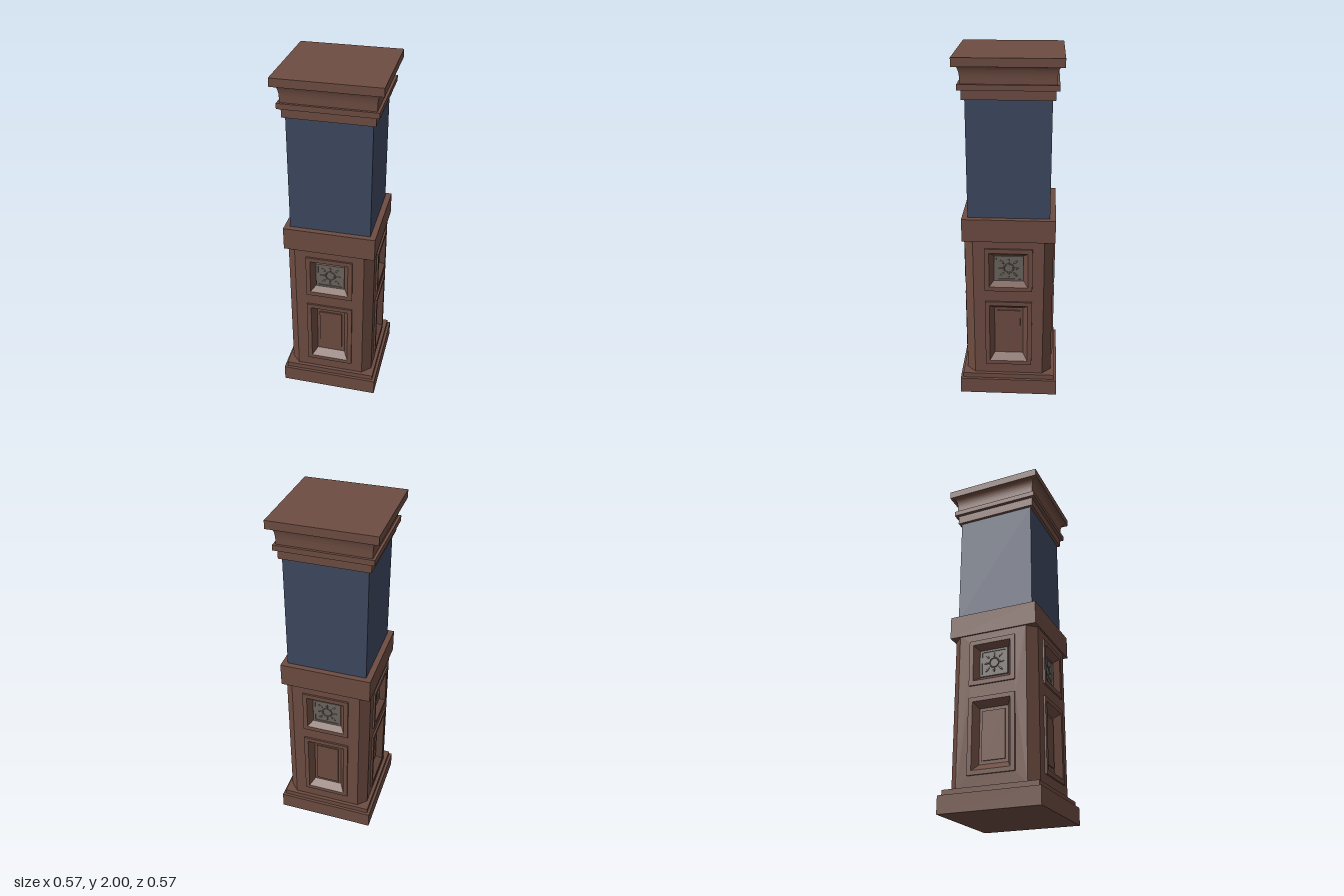
import * as THREE from 'three';

const wood = new THREE.MeshStandardMaterial({ color: 0x6d4c41 });
wood.name = 'brown wood';
const blue = new THREE.MeshStandardMaterial({ color: 0x3d4760 });
blue.name = 'slate blue';
const stone = new THREE.MeshStandardMaterial({ color: 0x6c645e });
stone.name = 'grey tile';

function add(parent, name, geometry, material, x = 0, y = 0, z = 0) {
  const mesh = new THREE.Mesh(geometry, material);
  mesh.name = name;
  mesh.position.set(x, y, z);
  parent.add(mesh);
  return mesh;
}

// Square block standing between two heights
function block(parent, name, half, y0, y1, material) {
  return add(parent, name, new THREE.BoxGeometry(half * 2, y1 - y0, half * 2), material, 0, (y0 + y1) / 2);
}

// Square moulding swept from a profile of [half width, height]
function moulding(profile) {
  const points = profile.map(([h, y]) => new THREE.Vector2(h * Math.SQRT2, y));
  const geometry = new THREE.LatheGeometry(points, 4).rotateY(Math.PI / 4).toNonIndexed();
  geometry.computeVertexNormals();
  return geometry;
}

// Stepped rectangular panel from rings of [half width, bottom, top, depth], outermost first
function steppedPanel(rings) {
  const corners = rings.map(([w, y0, y1, z]) => [[-w, y0, z], [w, y0, z], [w, y1, z], [-w, y1, z]]);
  const positions = [];
  const quad = (a, b, c, d) => positions.push(...a, ...b, ...c, ...a, ...c, ...d);
  for (let i = 0; i < corners.length - 1; i++) {
    for (let k = 0; k < 4; k++) {
      const n = (k + 1) % 4;
      quad(corners[i][k], corners[i][n], corners[i + 1][n], corners[i + 1][k]);
    }
  }
  quad(...corners[corners.length - 1]);
  const geometry = new THREE.BufferGeometry();
  geometry.setAttribute('position', new THREE.Float32BufferAttribute(positions, 3));
  geometry.computeVertexNormals();
  return geometry;
}

function rectangle(Type, w, y0, y1) {
  const r = new Type();
  r.moveTo(-w, y0);
  r.lineTo(w, y0);
  r.lineTo(w, y1);
  r.lineTo(-w, y1);
  r.closePath();
  return r;
}

// Carved square tile with a ring and leaf ornament
function createTile() {
  const tile = new THREE.Group();
  tile.name = 'ornamentTile';
  add(tile, 'tileSlab', new THREE.BoxGeometry(0.166, 0.154, 0.006), stone);
  const border = rectangle(THREE.Shape, 0.083, -0.077, 0.077);
  border.holes.push(rectangle(THREE.Path, 0.07, -0.066, 0.066));
  add(tile, 'tileBorder', new THREE.ExtrudeGeometry(border, { depth: 0.005, bevelEnabled: false }), stone, 0, 0, 0.003);
  add(tile, 'tileRing', new THREE.TorusGeometry(0.027, 0.004, 6, 24), stone, 0, 0, 0.003);
  for (let i = 0; i < 8; i++) {
    const angle = (i * Math.PI) / 4;
    const reach = i % 2 ? 0.055 : 0.044;
    const leaf = add(tile, 'tileLeaf', new THREE.SphereGeometry(1, 10, 6), stone,
      Math.cos(angle) * reach, Math.sin(angle) * reach, 0.003);
    leaf.scale.set(0.016, 0.005, 0.004);
    leaf.rotation.z = angle;
  }
  return tile;
}

// One face of the pedestal with its chamfer and two framed panels
function createSide() {
  const side = new THREE.Group();
  const wall = rectangle(THREE.Shape, 0.2, 0.12, 1.0);
  wall.holes.push(rectangle(THREE.Path, 0.135, 0.683, 0.947), rectangle(THREE.Path, 0.135, 0.19, 0.613));
  add(side, 'pedestalWall', new THREE.ShapeGeometry(wall), wood, 0, 0, 0.25);

  const chamfer = new THREE.PlaneGeometry(0.05 * Math.SQRT2, 0.88);
  add(side, 'cornerChamfer', chamfer, wood, 0.225, 0.56, 0.225).rotation.y = Math.PI / 4;

  add(side, 'upperPanel', steppedPanel([
    [0.135, 0.683, 0.947, 0.25],
    [0.135, 0.683, 0.947, 0.26],
    [0.11, 0.709, 0.921, 0.26],
    [0.083, 0.737, 0.891, 0.22],
  ]), wood);
  const tile = createTile();
  tile.position.set(0, 0.814, 0.222);
  side.add(tile);

  add(side, 'lowerPanel', steppedPanel([
    [0.135, 0.19, 0.613, 0.25],
    [0.135, 0.19, 0.613, 0.26],
    [0.11, 0.214, 0.588, 0.26],
    [0.083, 0.25, 0.557, 0.22],
    [0.067, 0.268, 0.539, 0.22],
    [0.067, 0.268, 0.539, 0.227],
  ]), wood);
  return side;
}

export function createModel() {
  const model = new THREE.Group();
  model.name = 'column';

  // Base and pedestal
  block(model, 'basePlinth', 0.286, 0, 0.097, wood);
  block(model, 'baseStep', 0.27, 0.097, 0.127, wood);
  ['front', 'left', 'back', 'right'].forEach((name, i) => {
    const side = createSide();
    side.name = name + 'Side';
    side.rotation.y = (i * Math.PI) / 2;
    model.add(side);
  });
  block(model, 'middleBand', 0.259, 0.99, 1.122, wood);

  // Shaft
  block(model, 'shaft', 0.227, 1.122, 1.78, blue);

  // Capital with a concave cove under the top slab
  const cove = [];
  for (let i = 0; i <= 8; i++) {
    const a = (i / 8) * (Math.PI / 2);
    cove.push([0.27 - 0.022 * Math.cos(a), 1.89 + 0.065 * Math.sin(a)]);
  }
  add(model, 'capital', moulding([
    [0, 1.78], [0.243, 1.78], [0.243, 1.832], [0.262, 1.832], [0.262, 1.862], [0.248, 1.862], ...cove,
  ]), wood);
  block(model, 'topSlab', 0.286, 1.955, 2, wood);
  return model;
}
